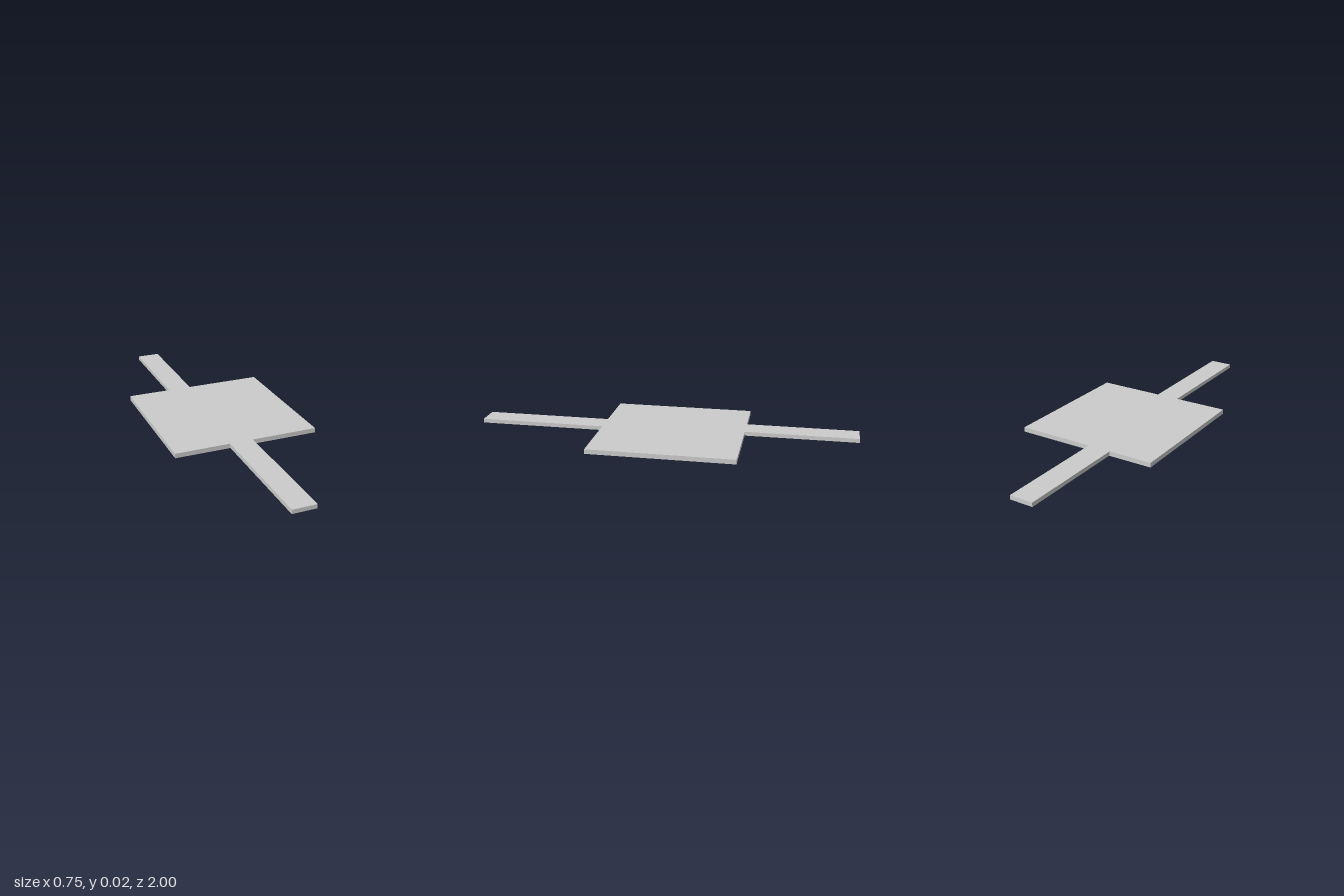
import * as THREE from 'three';

const TOP = 0.024; // shared top surface height

// Flat slab given by its plan extents and underside height
function slab(name, x0, x1, z0, z1, bottom, material) {
  const mesh = new THREE.Mesh(new THREE.BoxGeometry(x1 - x0, TOP - bottom, z1 - z0), material);
  mesh.name = name;
  mesh.position.set((x0 + x1) / 2, (TOP + bottom) / 2, (z0 + z1) / 2);
  return mesh;
}

export function createModel() {
  const group = new THREE.Group();
  group.name = 'plateWithStrips';
  const grey = new THREE.MeshStandardMaterial({ color: 0xcccccc, flatShading: true });

  group.add(
    // Square central plate
    slab('plate', -0.375, 0.375, -0.415, 0.335, 0, grey),
    // Slightly thinner strips, offset from each other, flush with the plate's top
    slab('frontStrip', -0.092, 0.03, 0.335, 1, 0.003, grey),
    slab('backStrip', -0.147, -0.025, -1, -0.415, 0.003, grey),
  );
  return group;
}
